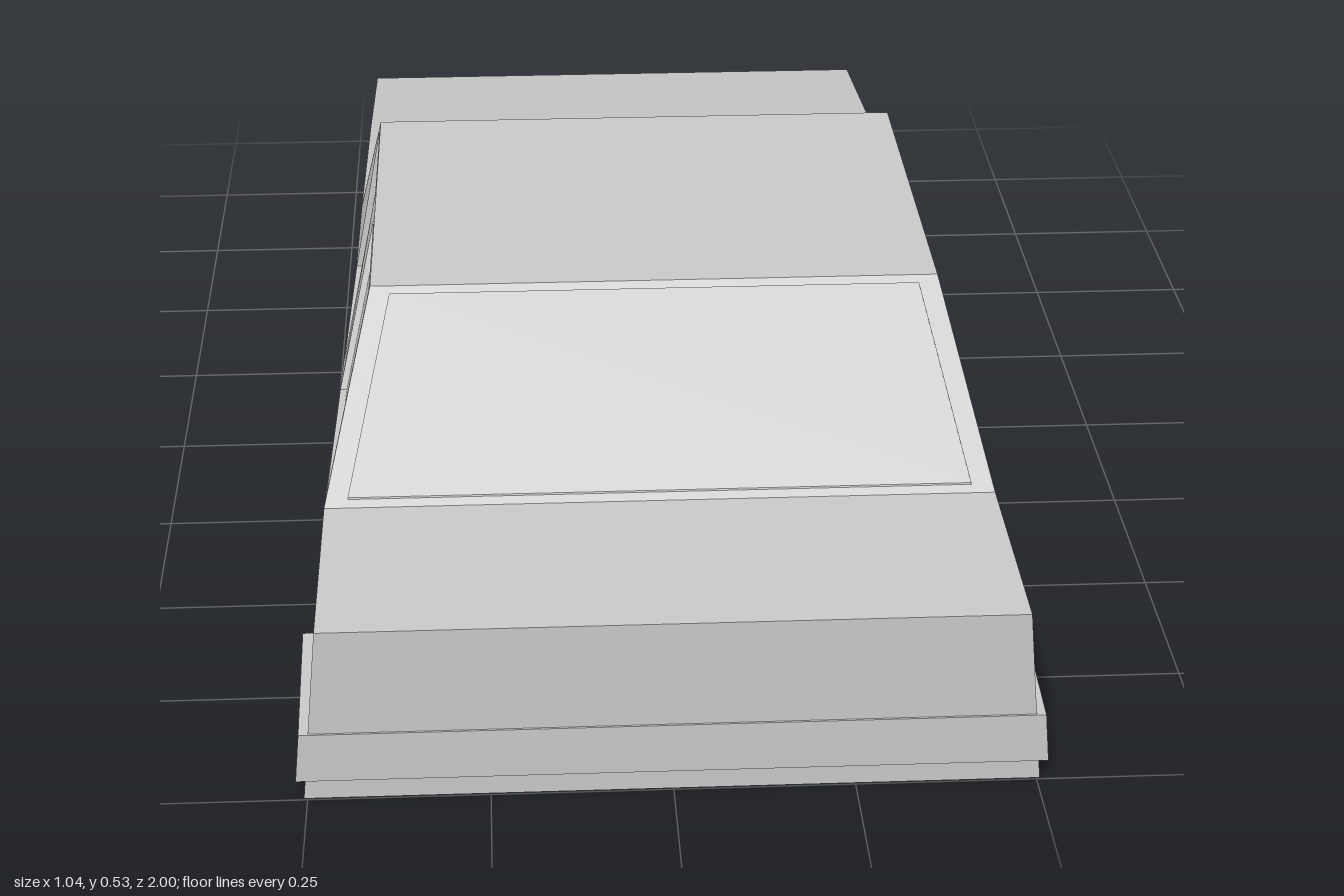
import * as THREE from 'three';

const material = new THREE.MeshStandardMaterial({ color: 0xcccccc, flatShading: true, side: THREE.DoubleSide });
const mix = (a, b, t) => a + (b - a) * t;

// Key heights and lengths of the cabin
const BELT = 0.265, ROOF = 0.527, ROOF_X = 0.41;
const SCREEN_Z = 0.67, ROOF_FRONT = 0.49, ROOF_BACK = -0.11, DECK_Z = -0.23, DECK_Y = 0.325, DECK_X = 0.452;

// Solid through trapezoid stations, front to back: [z, bottom y, bottom half width, top y, top half width]
function loft(stations) {
  const pos = [], index = [];
  for (const [z, yb, xb, yt, xt] of stations) pos.push(-xb, yb, z, xb, yb, z, xt, yt, z, -xt, yt, z);
  for (let k = 0; k < stations.length - 1; k++) {
    for (let i = 0; i < 4; i++) {
      const j = (i + 1) % 4, f = k * 4, b = f + 4;
      index.push(f + i, b + i, b + j, f + i, b + j, f + j);
    }
  }
  const e = (stations.length - 1) * 4;
  index.push(0, 1, 2, 0, 2, 3, e, e + 2, e + 1, e, e + 3, e + 2);
  const g = new THREE.BufferGeometry();
  g.setAttribute('position', new THREE.Float32BufferAttribute(pos, 3));
  g.setIndex(index);
  const flat = g.toNonIndexed();
  flat.computeVertexNormals();
  return flat;
}

// Thin sheet with holes; place(s, t, d) sets each point, d being the depth below the surface
function panel(outline, holes, start, depth, place) {
  const points = (list) => list.map(([s, t]) => new THREE.Vector2(s, t));
  const shape = new THREE.Shape(points(outline));
  for (const h of holes) shape.holes.push(new THREE.Path(points(h)));
  const g = new THREE.ExtrudeGeometry(shape, { depth, bevelEnabled: false });
  const p = g.attributes.position;
  for (let i = 0; i < p.count; i++) p.setXYZ(i, ...place(p.getX(i), p.getY(i), p.getZ(i) + start));
  g.computeVertexNormals();
  return g;
}

// Surface of the cabin side, windscreen and rear screen
function sidePlace(z, y, d) {
  const belt = mix(0.457, 0.48, (z - DECK_Z) / (SCREEN_Z - DECK_Z));
  let x = mix(belt, ROOF_X, (y - BELT) / (ROOF - BELT));
  if (z < ROOF_BACK) x = mix(x, DECK_X, (ROOF_BACK - z) / (ROOF_BACK - DECK_Z));
  return [x - d, y, z];
}
const frontPlace = (s, y, d) => [-s, y, mix(SCREEN_Z, ROOF_FRONT, (y - BELT) / (ROOF - BELT)) - d];
const rearPlace = (s, y, d) => [s, y, mix(DECK_Z, ROOF_BACK, (y - DECK_Y) / (ROOF - DECK_Y)) + d];
const trapezoid = (xb, yb, xt, yt) => [[-xb, yb], [xb, yb], [xt, yt], [-xt, yt]];

export function createModel() {
  const group = new THREE.Group();
  const add = (name, geometry, mirrored = false) => {
    const mesh = new THREE.Mesh(geometry, material);
    mesh.name = name;
    if (mirrored) mesh.scale.x = -1;
    group.add(mesh);
  };

  // Lower body with shallow grooves across the floor, bonnet and sloping rear deck
  add('lowerBody', loft([
    [0.997, 0, 0.505, BELT, 0.48],
    [0.75, 0, 0.505, BELT, 0.48],
    [0.73, 0.018, 0.503, BELT, 0.48],
    [0.70, 0.018, 0.502, BELT, 0.48],
    [SCREEN_Z, 0, 0.503, BELT, 0.48],
    [ROOF_BACK, 0, 0.463, BELT, 0.46],
    [-0.135, 0.01, 0.461, BELT, 0.459],
    [-0.2, 0.01, 0.458, BELT, 0.458],
    [DECK_Z, 0, 0.457, BELT, 0.457],
    [DECK_Z, 0, 0.457, DECK_Y, DECK_X],
    [-0.67, 0, 0.455, 0.283, 0.451],
    [-0.997, 0, 0.453, 0.24, 0.45],
  ]));

  // Bumpers wrapping round the ends
  add('frontBumper', loft([[1, 0.03, 0.515, 0.105, 0.508], [0.745, 0.03, 0.521, 0.105, 0.514]]));
  add('rearBumper', loft([[-0.295, 0.032, 0.474, 0.078, 0.472], [-1, 0.032, 0.466, 0.078, 0.464]]));

  // Roof
  add('roof', loft([[ROOF_FRONT, 0.515, 0.405, ROOF, ROOF_X], [ROOF_BACK, 0.515, 0.405, ROOF, ROOF_X]]));

  // Cabin sides with recessed windows
  const windows = [
    [[0.655, 0.275], [0.33, 0.275], [0.245, 0.517], [0.49, 0.517]],
    [[0.235, 0.275], [-0.1, 0.275], [-0.1, 0.517], [0.15, 0.517]],
  ];
  const side = [[SCREEN_Z, BELT], [ROOF_FRONT, ROOF], [ROOF_BACK, ROOF], [ROOF_BACK, BELT]];
  const pillar = [[ROOF_BACK, BELT], [ROOF_BACK, ROOF], [DECK_Z, DECK_Y], [DECK_Z, BELT]];
  for (const [label, mirrored] of [['left', false], ['right', true]]) {
    add(label + 'CabinSide', panel(side, windows, 0, 0.014, sidePlace), mirrored);
    add(label + 'RearPillar', panel(pillar, [], 0, 0.01, sidePlace), mirrored);
    windows.forEach((w, i) => add(label + (i ? 'Rear' : 'Front') + 'Window', panel(w, [], 0.01, 0.004, sidePlace), mirrored));
  }

  // Windscreen and rear screen, each a frame around a slightly recessed pane
  const screens = [
    ['windscreen', trapezoid(0.48, BELT, ROOF_X, ROOF), trapezoid(0.446, 0.275, 0.382, 0.517), frontPlace],
    ['rearScreen', trapezoid(DECK_X, DECK_Y, ROOF_X, ROOF), trapezoid(0.42, 0.333, 0.382, 0.517), rearPlace],
  ];
  for (const [name, frame, pane, place] of screens) {
    add(name + 'Frame', panel(frame, [pane], 0, 0.01, place));
    add(name + 'Pane', panel(pane, [], 0.005, 0.005, place));
  }
  return group;
}
